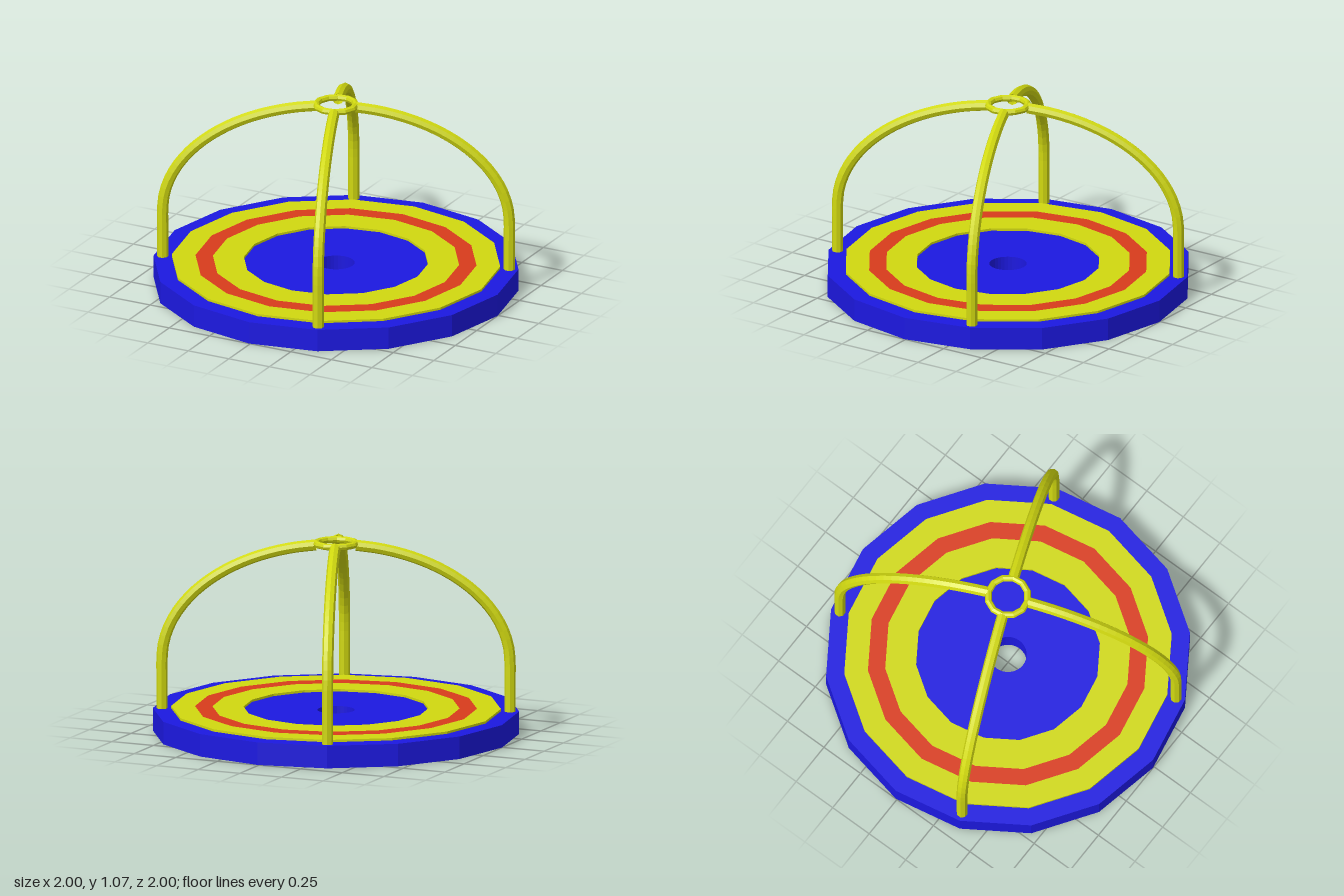
import * as THREE from 'three';

const paint = (color) => new THREE.MeshStandardMaterial({ color, flatShading: true, side: THREE.DoubleSide });

// Flat polygonal washer lying on the ground plane between heights y0 and y1
function washer(outer, inner, y0, y1, innerSides = 16) {
  const polygon = (r, n) => Array.from({ length: n }, (_, i) => {
    const a = (i / n) * Math.PI * 2;
    return new THREE.Vector2(r * Math.cos(a), r * Math.sin(a));
  });
  const shape = new THREE.Shape(polygon(outer, 16));
  shape.holes.push(new THREE.Path(polygon(inner, innerSides)));
  const geometry = new THREE.ExtrudeGeometry(shape, { depth: y1 - y0, bevelEnabled: false });
  return geometry.rotateX(-Math.PI / 2).translate(0, y0, 0);
}

export function createModel() {
  const model = new THREE.Group();
  model.name = 'merryGoRound';
  const blue = paint(0x1c18e0), yellow = paint(0xd0d810), red = paint(0xd83c1c);

  const add = (name, geometry, material, parent = model) => {
    const mesh = new THREE.Mesh(geometry, material);
    mesh.name = name;
    parent.add(mesh);
    return mesh;
  };

  // Turntable with centre hole and the painted rings on top
  const platform = new THREE.Group();
  platform.name = 'platform';
  platform.rotation.y = -0.008;
  model.add(platform);
  add('base', washer(1, 0.102, 0, 0.125, 32), blue, platform);
  add('outerRing', washer(0.9, 0.77, 0.12, 0.138), yellow, platform);
  add('redRing', washer(0.77, 0.675, 0.12, 0.138), red, platform);
  add('innerRing', washer(0.675, 0.505, 0.12, 0.138), yellow, platform);

  // Handrail: straight post, then a quarter ellipse up to the hub ring
  const points = [0.12, 0.22, 0.32].map((y) => new THREE.Vector3(0.95, y, 0));
  const end = Math.acos(0.11 / 0.95);
  for (let i = 0; i <= 12; i++) {
    const a = (i / 12) * end;
    points.push(new THREE.Vector3(0.95 * Math.cos(a), 0.4 + 0.645 * Math.sin(a), 0));
  }
  const rail = new THREE.TubeGeometry(new THREE.CatmullRomCurve3(points), 28, 0.031, 8, false);
  for (let i = 0; i < 4; i++) {
    add('handrail', rail, yellow).rotation.y = 0.384 + (i * Math.PI) / 2;
  }

  // Hub ring joining the rails
  const hub = new THREE.TorusGeometry(0.11, 0.019, 8, 12).rotateX(Math.PI / 2);
  const hubRing = add('hubRing', hub, yellow);
  hubRing.position.y = 1.05;
  hubRing.rotation.y = 0.384;

  return model;
}
